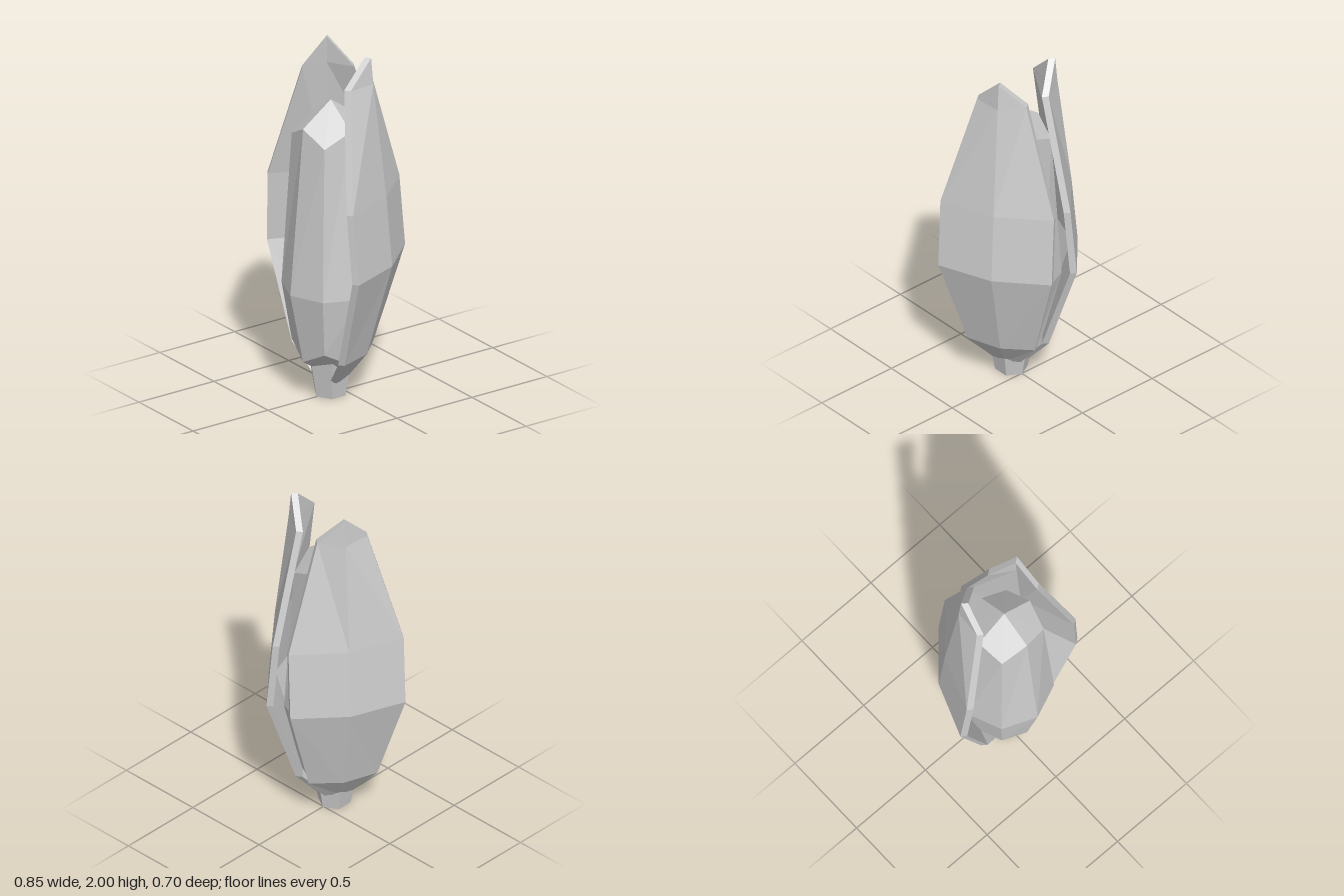
import * as THREE from 'three';

const material = new THREE.MeshStandardMaterial({ color: 0xcccccc, flatShading: true });

// Skin a stack of equal-sized rings (bottom to top); side = -1 mirrors across x.
function loft(name, rings, side = 1) {
  const pos = [];
  const tri = (a, b, c) => {
    const pts = side > 0 ? [a, b, c] : [a, c, b];
    const [p, q, r] = pts.map(v => new THREE.Vector3(v[0] * side, v[1], v[2]));
    if (q.clone().sub(p).cross(r.clone().sub(p)).length() < 1e-8) return;
    for (const v of [p, q, r]) pos.push(v.x, v.y, v.z);
  };
  const n = rings[0].length;
  for (let k = 0; k + 1 < rings.length; k++) {
    for (let i = 0; i < n; i++) {
      const j = (i + 1) % n;
      const lo = rings[k], hi = rings[k + 1];
      tri(lo[i], lo[j], hi[j]);
      tri(lo[i], hi[j], hi[i]);
    }
  }
  // bottom cap, paired across the ring so that curved strips close cleanly
  const base = rings[0];
  for (let i = 0; i < n / 2 - 1; i++) {
    const a = base[i], b = base[i + 1], c = base[n - 2 - i], d = base[n - 1 - i];
    tri(a, c, b);
    tri(a, d, c);
  }
  const geometry = new THREE.BufferGeometry();
  geometry.setAttribute('position', new THREE.Float32BufferAttribute(pos, 3));
  geometry.computeVertexNormals();
  const mesh = new THREE.Mesh(geometry, material);
  mesh.name = name;
  return mesh;
}

// Eight-sided ring whose alternate corners may differ in height and radius.
function earRing(yEven, rEven, yOdd = yEven, rOdd = rEven) {
  return Array.from({ length: 8 }, (_, i) => {
    const a = i * Math.PI / 4;
    const r = i % 2 ? rOdd : rEven;
    return [r * Math.sin(a), i % 2 ? yOdd : yEven, 0.081 + r * Math.cos(a)];
  });
}

// Leaf levels: y, then outer x,z of front edge, ridge and back edge.
const leafLevels = [
  [0.10, 0.105, 0.12, 0.080, 0.04, 0.03, -0.025],
  [0.26, 0.245, 0.165, 0.18, -0.03, 0.05, -0.165],
  [0.80, 0.425, 0.20, 0.31, -0.105, 0.09, -0.35],
  [1.20, 0.395, 0.217, 0.28, -0.088, 0.06, -0.333],
  [1.85, 0.225, 0.11, 0.215, -0.048, 0.08, -0.13],
  [2.00, 0.203, -0.042, 0.203, -0.042, 0.203, -0.042],
];

function leafRing([y, fx, fz, mx, mz, bx, bz]) {
  const outer = [[fx, y, fz], [mx, y, mz], [bx, y, bz]];
  const inner = outer.map(([x, , z]) => [x - 0.03, y, z + 0.022]).reverse();
  return [...outer, ...inner];
}

export function createModel() {
  const group = new THREE.Group();

  // Faceted ear with pointed top and bottom
  group.add(loft('ear', [
    earRing(0.10, 0),
    earRing(0.225, 0.185, 0.305, 0.214),
    earRing(0.635, 0.27),
    earRing(1.59, 0.185, 1.51, 0.214),
    earRing(1.72, 0),
  ]));

  // Folded husk leaves on both sides
  const leaf = leafLevels.map(leafRing);
  group.add(loft('leftHuskLeaf', leaf, 1));
  group.add(loft('rightHuskLeaf', leaf, -1));

  // Six-sided tapered stem
  const stem = new THREE.Mesh(new THREE.CylinderGeometry(0.131, 0.09, 0.23, 6), material);
  stem.name = 'stem';
  stem.position.set(0, 0.115, 0.085);
  group.add(stem);

  return group;
}
